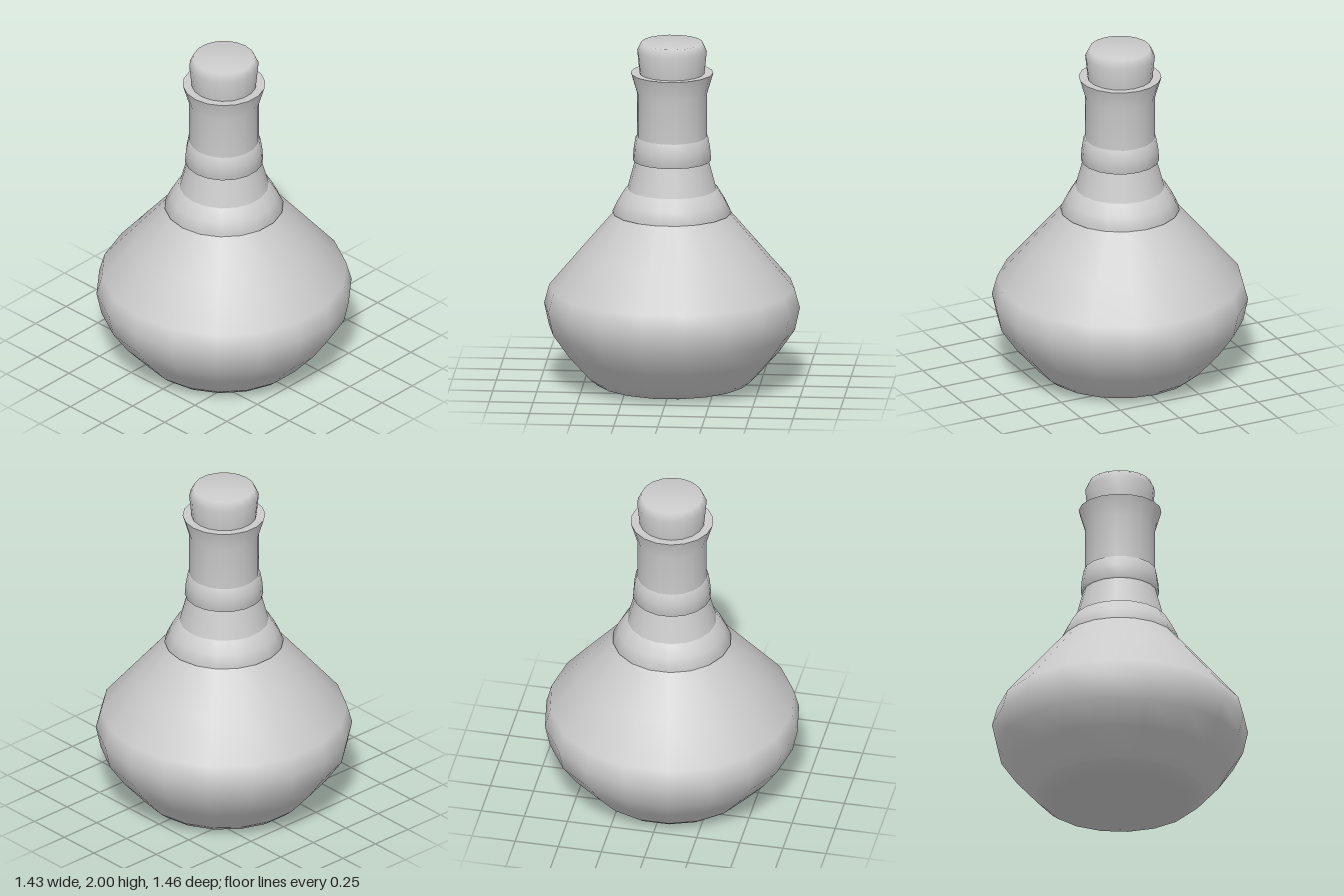
import * as THREE from 'three';

const SIDES = 18;
const material = new THREE.MeshStandardMaterial({ color: 0xcccccc, side: THREE.DoubleSide });

// Revolves a [radius, height] profile, listed from bottom to top
function turned(name, profile) {
  const points = profile.map(([r, y]) => new THREE.Vector2(r, y));
  const mesh = new THREE.Mesh(new THREE.LatheGeometry(points, SIDES), material);
  mesh.name = name;
  return mesh;
}

export function createModel() {
  const group = new THREE.Group();
  group.name = 'corkedBottle';

  group.add(
    // Flat foot with a rounded rim
    turned('base', [[0, 0], [0.37, 0.002], [0.44, 0.02], [0.482, 0.055]]),
    // Wide belly tapering to the shoulder
    turned('belly', [
      [0.482, 0.055], [0.61, 0.2], [0.7, 0.33], [0.728, 0.46],
      [0.698, 0.57], [0.515, 0.787], [0.33, 1.005], [0.3, 1.04],
    ]),
    // Collar around the shoulder
    turned('lowerCollar', [[0.31, 1.005], [0.339, 1.006], [0.305, 1.075], [0.264, 1.143], [0.24, 1.146]]),
    // Tapered lower neck
    turned('lowerNeck', [[0.255, 1.14], [0.208, 1.315]]),
    // Band around the neck
    turned('upperCollar', [[0.2, 1.31], [0.223, 1.312], [0.217, 1.385], [0.206, 1.447], [0.19, 1.45]]),
    // Straight upper neck flaring into the lip
    turned('upperNeck', [[0.199, 1.44], [0.199, 1.7], [0.235, 1.822]]),
    turned('lipRim', [[0.235, 1.822], [0.17, 1.818]]),
    // Stopper, wider near its top
    turned('cork', [[0.182, 1.8], [0.186, 1.83], [0.198, 1.95], [0.175, 1.998], [0, 2]]),
  );
  return group;
}
